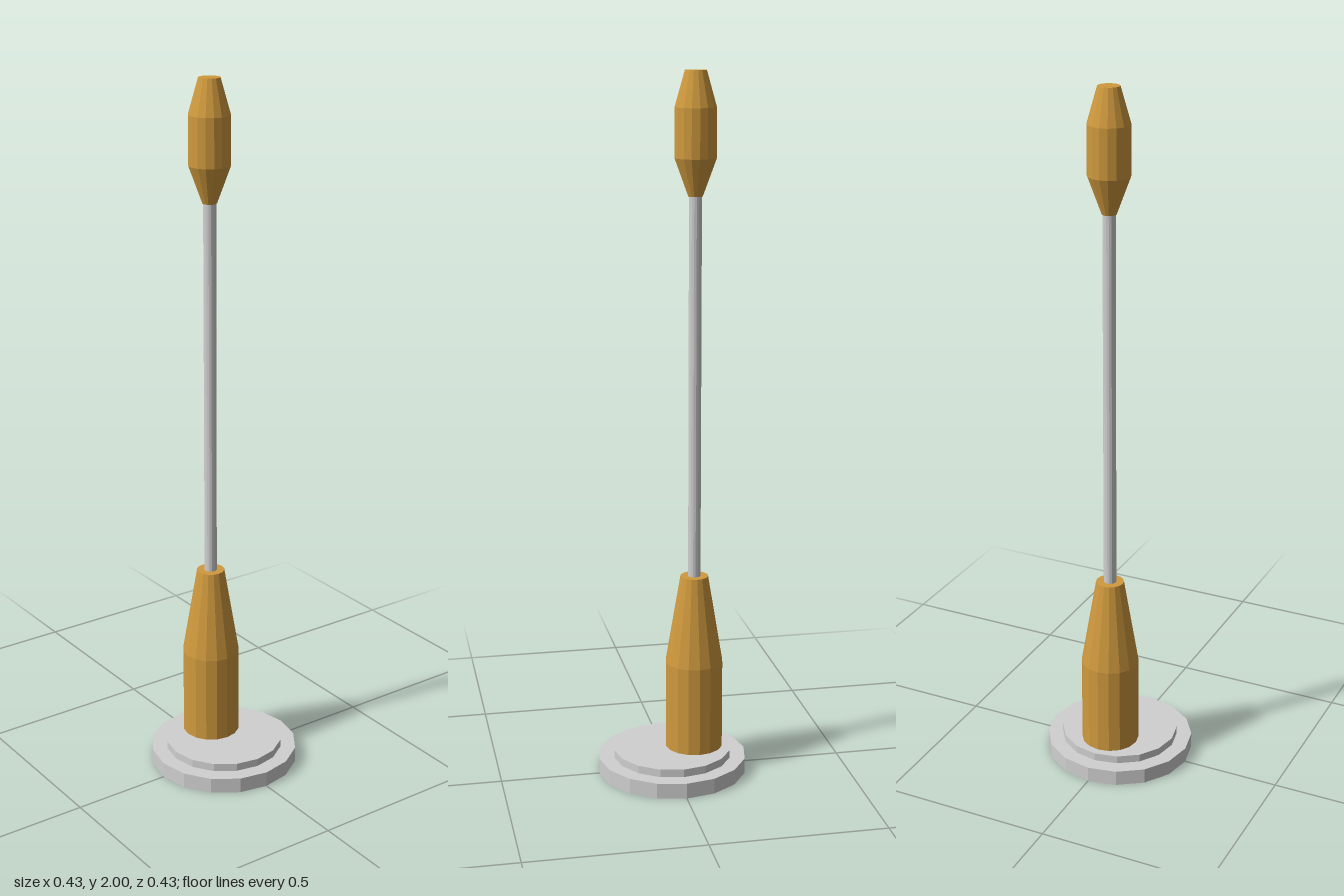
import * as THREE from 'three';

const SIDES = 16;

export function createModel() {
  const model = new THREE.Group();
  model.name = 'tool';

  const amber = new THREE.MeshStandardMaterial({ color: 0xd09a3e, flatShading: true });
  amber.name = 'amber';
  const steel = new THREE.MeshStandardMaterial({ color: 0xd0d0d0, flatShading: true });
  steel.name = 'light grey';

  // Solid turned around a vertical axis, profile as [radius, height] from bottom to top
  function turned(name, profile, material, x) {
    const points = [[0, profile[0][1]], ...profile, [0, profile.at(-1)[1]]]
      .map(([r, y]) => new THREE.Vector2(r, y));
    const mesh = new THREE.Mesh(new THREE.LatheGeometry(points, SIDES), material);
    mesh.name = name;
    mesh.position.x = x;
    model.add(mesh);
  }

  const axis = -0.065; // the shaft stands off-centre on the base

  // Two-step round base
  turned('baseDisc', [[0.215, 0], [0.215, 0.045]], steel, 0);
  turned('baseStep', [[0.171, 0.045], [0.171, 0.068]], steel, 0);

  // Tapered grip, thin rod and tip
  turned('grip', [[0.083, 0.068], [0.083, 0.328], [0.04, 0.585]], amber, axis);
  turned('rod', [[0.018, 0.58], [0.018, 1.67]], steel, axis);
  turned('tip', [[0.02, 1.664], [0.058, 1.767], [0.058, 1.902], [0.03, 2]], amber, axis);

  return model;
}
